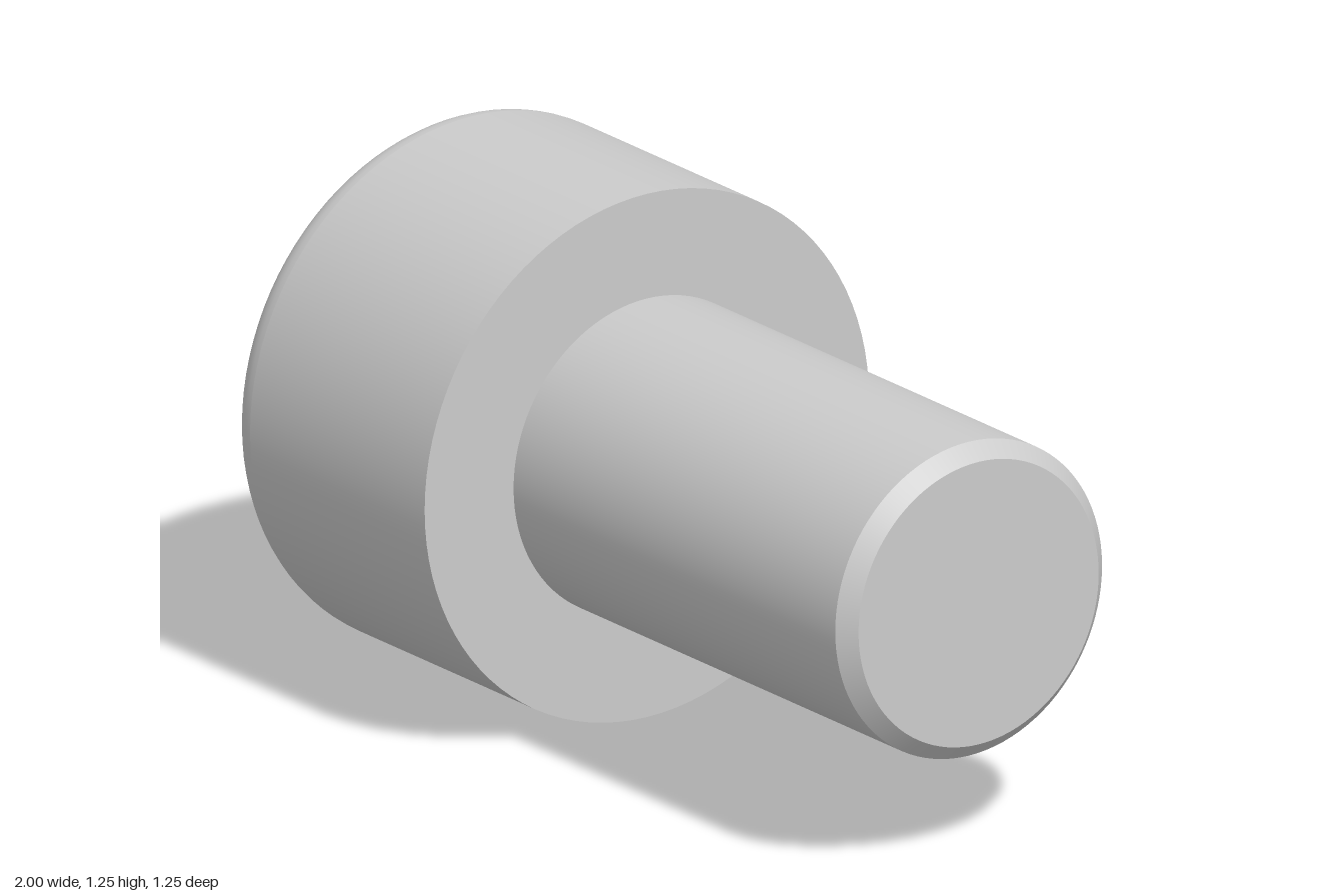
import * as THREE from 'three';

const SEG = 96;
const HEAD_R = 0.625, SHANK_R = 0.375, FILLET = 0.092, CHAMFER = 0.0375;
const BACK = -1, SHOULDER = -0.25, TIP = 1;
const HEX_R = 0.3125 / Math.cos(Math.PI / 6), HEX_DEPTH = 0.375;

export function createModel() {
  const material = new THREE.MeshStandardMaterial({ color: 0xcccccc });
  const model = new THREE.Group();
  model.name = 'socketHeadScrew';

  // The screw is built along y, then laid along x
  const addPart = (name, geometry) => {
    geometry.rotateZ(-Math.PI / 2).translate(0, HEAD_R, 0);
    const mesh = new THREE.Mesh(geometry, material);
    mesh.name = name;
    model.add(mesh);
  };
  // Separate lathes keep the edges between them sharp
  const turn = (name, points) =>
    addPart(name, new THREE.LatheGeometry(points.map(([r, y]) => new THREE.Vector2(r, y)), SEG));

  // Head side with its rounded rim
  const rim = [];
  for (let i = 0; i <= 10; i++) {
    const a = (i / 10) * Math.PI / 2;
    rim.push([HEAD_R - FILLET + FILLET * Math.sin(a), BACK + FILLET - FILLET * Math.cos(a)]);
  }
  turn('headRim', rim);
  turn('headSide', [[HEAD_R, BACK + FILLET], [HEAD_R, SHOULDER]]);
  turn('headUnderside', [[HEAD_R, SHOULDER], [SHANK_R, SHOULDER]]);

  // Shank with chamfered tip
  turn('shank', [[SHANK_R, SHOULDER], [SHANK_R, TIP - CHAMFER]]);
  turn('tipChamfer', [[SHANK_R, TIP - CHAMFER], [SHANK_R - CHAMFER, TIP]]);
  turn('tipFace', [[SHANK_R - CHAMFER, TIP], [0, TIP]]);

  // Head face with hexagonal opening
  const face = new THREE.Shape().absarc(0, 0, HEAD_R - FILLET, 0, Math.PI * 2);
  const corners = Array.from({ length: 6 }, (_, i) => new THREE.Vector2(
    HEX_R * Math.cos(i * Math.PI / 3), HEX_R * Math.sin(i * Math.PI / 3)));
  face.holes.push(new THREE.Path(corners).closePath());
  addPart('headFace', new THREE.ShapeGeometry(face, SEG).rotateX(Math.PI / 2).translate(0, BACK, 0));

  // Socket walls, mirrored so that they face inward
  const walls = new THREE.CylinderGeometry(HEX_R, HEX_R, HEX_DEPTH, 6, 1, true, Math.PI / 2)
    .toNonIndexed().scale(1, 1, -1).translate(0, BACK + HEX_DEPTH / 2, 0);
  walls.computeVertexNormals();
  addPart('socketWalls', walls);
  addPart('socketFloor', new THREE.CircleGeometry(HEX_R, 6)
    .rotateX(Math.PI / 2).translate(0, BACK + HEX_DEPTH, 0));

  return model;
}
